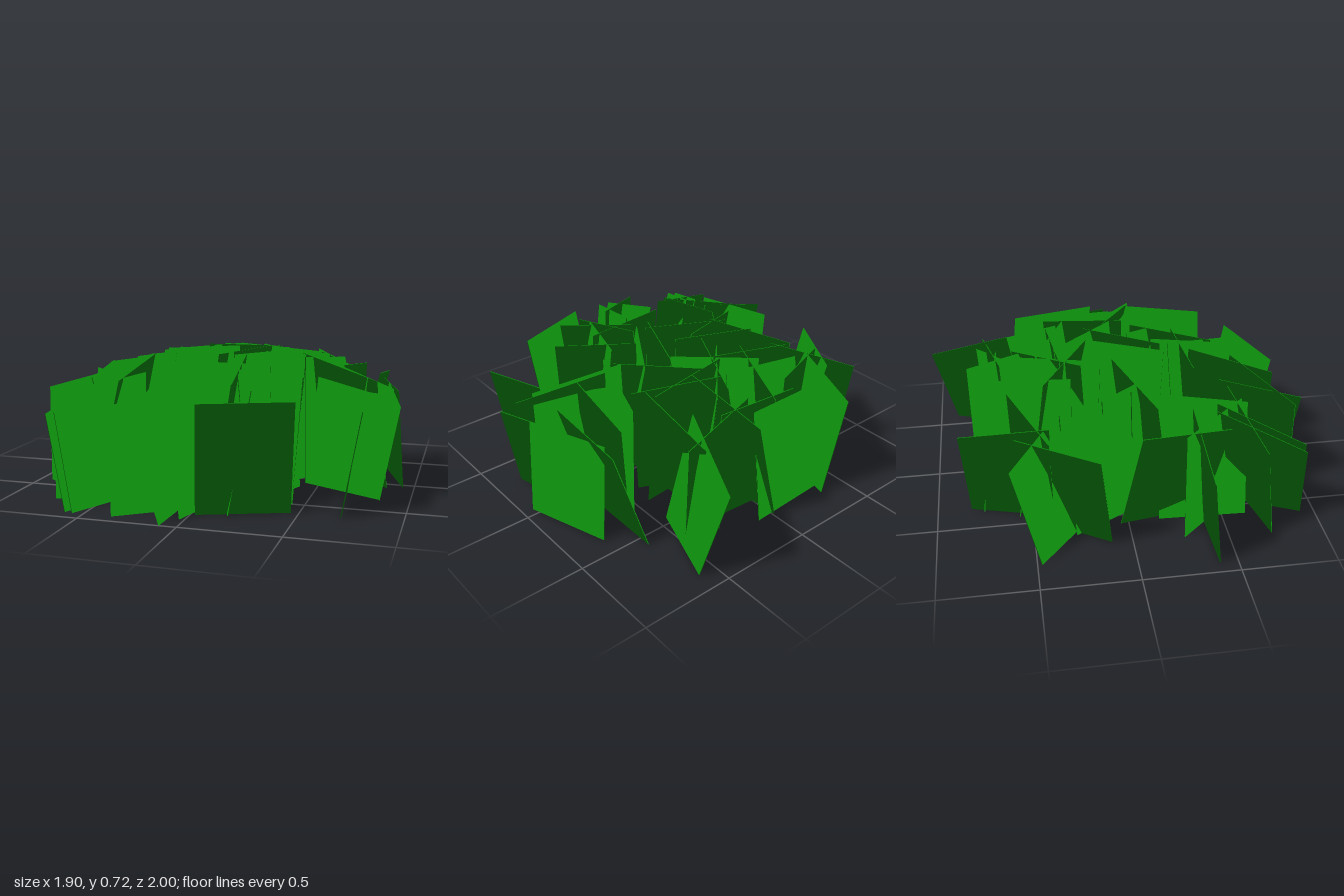
import * as THREE from 'three';

const LENGTH = 0.465;
const THICKNESS = 0.004;
const grass = new THREE.MeshStandardMaterial({ color: 0x0c8a0c, side: THREE.DoubleSide });

// Each card of grass: [centre x, centre z, heading in degrees,
// sideways lean of its top, endways skew of its top, drop of its top]
const clumps = {
  backRightClump: [
    [-0.14, -0.73, 177, -0.07], [-0.45, -0.61, 105, 0.11], [-0.21, -0.49, 5, 0.11],
    [-0.44, -0.49, 157, 0.02], [-0.16, -0.48, 110, -0.03], [-0.62, -0.39, 41, -0.14, -0.04],
    [-0.64, -0.34, 121, 0.13], [-0.47, -0.10, 62, -0.11], [-0.26, -0.29, 9, -0.03],
    [-0.21, -0.05, 13, -0.04],
  ],
  backLeftClump: [
    [0.48, -0.73, 109, 0.11, -0.08, -0.02], [0.72, -0.30, 90, -0.15, 0.06], [0.63, -0.18, 97, -0.03],
    [0.85, -0.17, 72, 0.04, 0, 0.04], [0.49, -0.12, 108, 0.01], [0.36, -0.49, 91, -0.15, -0.05],
    [0.28, -0.65, 169, 0.02], [0.01, -0.64, 4, -0.02], [0.08, -0.56, 86, -0.15],
  ],
  middleClump: [
    [0.02, 0.03, 113, -0.13], [-0.05, -0.32, 114, -0.10], [0.06, -0.35, 131, 0.06],
    [0.23, -0.29, 23, -0.11, 0.05], [0.19, -0.29, 175, 0.06], [0.22, -0.12, 48, -0.08],
    [-0.01, -0.31, 34, 0.10], [0.25, 0.10, 122, 0.13],
  ],
  frontRightClump: [
    [-0.28, 0.11, 158, 0.10], [-0.17, 0.13, 22, -0.02], [-0.60, 0.23, 81, 0.15, 0.06],
    [-0.71, 0.37, 178, 0.06, 0.02, 0.01], [-0.49, 0.40, 92, -0.15], [-0.56, 0.69, 114, 0.12],
    [-0.51, 0.70, 115, 0.11], [-0.53, 0.64, 167, 0.07], [-0.56, 0.44, 49, -0.02],
    [-0.16, 0.76, 92, 0.16, 0, 0.02], [-0.17, 0.79, 145, 0.02],
  ],
  frontLeftClump: [
    [0.84, 0.08, 77, -0.09, 0, 0.05], [0.62, 0.03, 25, 0.13], [0.66, 0.15, 27, -0.11],
    [0.73, 0.42, 85, -0.09], [0.00, 0.65, 105, 0.07], [0.06, 0.41, 176, 0.05],
    [0.10, 0.46, 84, -0.10], [0.13, 0.54, 64, -0.11], [0.26, 0.77, 160, -0.11],
    [0.29, 0.37, 110, 0.08], [0.32, 0.30, 54, -0.05],
  ],
};

// A very thin card whose top edge follows a shallow dome
function grassCard(x, z, degrees, lean, skew = 0, drop = 0) {
  const a = THREE.MathUtils.degToRad(degrees);
  const ex = Math.cos(a), ez = Math.sin(a);
  const geometry = new THREE.BoxGeometry(LENGTH, 1, THICKNESS);
  const { position: p, normal } = geometry.attributes;
  for (let i = 0; i < p.count; i++) {
    const side = p.getY(i);
    const along = p.getX(i) + side * skew;
    const across = p.getZ(i) + side * lean;
    const px = x + ex * along - ez * across;
    const pz = z + ez * along + ex * across;
    const top = 0.74 - drop - 0.2 * (px * px + pz * pz);
    p.setXYZ(i, px, side > 0 ? top : 0.015, pz);
    // Upward normals light both faces alike, as foliage
    normal.setXYZ(i, 0, 1, 0);
  }
  const card = new THREE.Mesh(geometry, grass);
  card.name = 'grassCard';
  return card;
}

export function createModel() {
  const model = new THREE.Group();
  model.name = 'grassPatch';
  for (const [name, cards] of Object.entries(clumps)) {
    const clump = new THREE.Group();
    clump.name = name;
    for (const card of cards) clump.add(grassCard(...card));
    model.add(clump);
  }
  return model;
}
